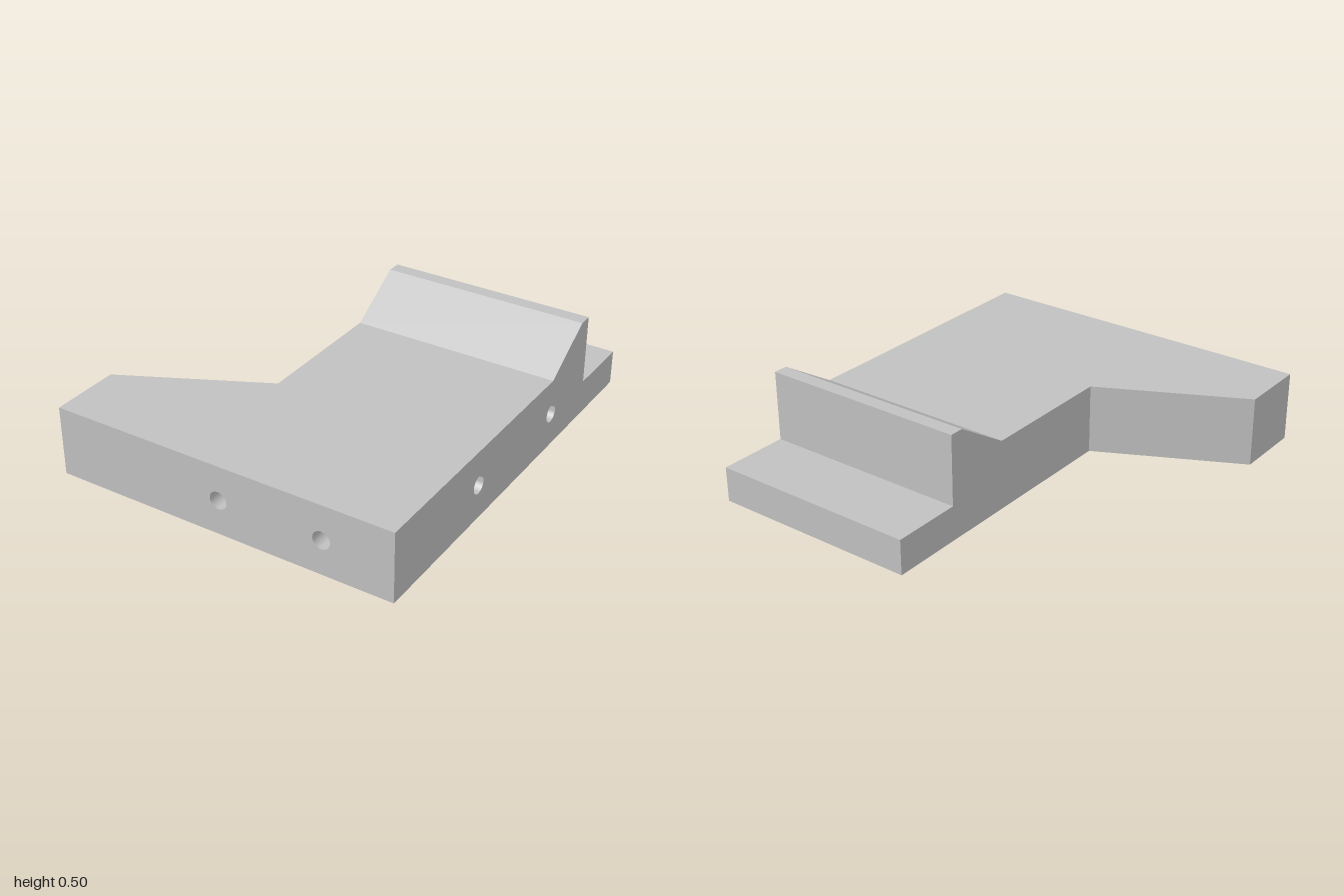
import * as THREE from 'three';
import { toCreasedNormals } from 'three/addons/utils/BufferGeometryUtils.js';

const W = 5 / 6, N = -1 / 6, T = 1 / 3;   // outer side, inner side, plate height
const HOLE_Y = 1 / 6, HOLE_R = 1 / 24, HOLE_DEPTH = 0.25;

export function createModel() {
  const group = new THREE.Group();
  const grey = new THREE.MeshStandardMaterial({ color: 0xc0c0c0 });
  grey.name = 'plain grey';

  const add = (name, geometry) => {
    const mesh = new THREE.Mesh(geometry, grey);
    mesh.name = name;
    group.add(mesh);
    return mesh;
  };

  // Flat wall from an outline, with optional round holes
  const wall = (name, outline, holes = []) => {
    const shape = new THREE.Shape(outline.map(([u, v]) => new THREE.Vector2(u, v)));
    for (const u of holes) {
      const path = new THREE.Path();
      path.absarc(u, HOLE_Y, HOLE_R, 0, Math.PI * 2, true);
      shape.holes.push(path);
    }
    return add(name, new THREE.ShapeGeometry(shape, 16));
  };

  // Four-cornered face, corners counter-clockwise from outside
  const quad = (name, a, b, c, d) => {
    const geometry = new THREE.BufferGeometry();
    geometry.setAttribute('position', new THREE.Float32BufferAttribute([a, b, c, a, c, d].flat(), 3));
    geometry.computeVertexNormals();
    return add(name, geometry);
  };

  // Blind round hole, open towards +y before it is turned
  const pocket = (name) => {
    const points = [[HOLE_R, 0], [HOLE_R, -HOLE_DEPTH], [0, -HOLE_DEPTH]];
    const lathe = new THREE.LatheGeometry(points.map(([x, y]) => new THREE.Vector2(x, y)), 32);
    return add(name, toCreasedNormals(lathe, Math.PI / 5));
  };

  // Stepped profile as (z, y), from the foot of the ramp to the back edge
  const steps = [[-1 / 3, T], [-0.6, 0.5], [-2 / 3, 0.5], [-2 / 3, 1 / 6], [-1, 1 / 6], [-1, 0]];

  // Front wall and the two side walls
  const frontHoles = [0, 0.5], sideHoles = [-1 / 3, 1 / 3];
  wall('frontWall', [[-W, 0], [W, 0], [W, T], [-W, T]], frontHoles).position.z = 1;

  const leftWall = wall('leftWall', [[-1, 0], [-1, T], ...steps.map(([z, y]) => [-z, y])], sideHoles);
  leftWall.rotation.y = Math.PI / 2;
  leftWall.position.x = W;

  const rightWall = wall('rightWall', [[1 / 3, 0], [1 / 3, T], ...steps]);
  rightWall.rotation.y = -Math.PI / 2;
  rightWall.position.x = N;

  // Top and underside of the plate, with its tapered wing
  const footprint = (back) => [[-W, 1], [W, 1], [W, back], [N, back], [N, 1 / 3], [-W, 2 / 3]];
  const top = wall('plateTop', footprint(-1 / 3).map(([x, z]) => [x, -z]));
  top.rotation.x = -Math.PI / 2;
  top.position.y = T;
  wall('underside', footprint(-1)).rotation.x = Math.PI / 2;

  // Wing end and its slanted back
  quad('wingEnd', [-W, 0, 2 / 3], [-W, 0, 1], [-W, T, 1], [-W, T, 2 / 3]);
  quad('wingBack', [N, 0, 1 / 3], [-W, 0, 2 / 3], [-W, T, 2 / 3], [N, T, 1 / 3]);

  // Ramp, ridge, riser, ledge and back edge
  ['ramp', 'ridgeTop', 'ridgeBack', 'ledgeTop', 'backEdge'].forEach((name, i) => {
    const [z0, y0] = steps[i], [z1, y1] = steps[i + 1];
    quad(name, [N, y0, z0], [W, y0, z0], [W, y1, z1], [N, y1, z1]);
  });

  // Mounting holes in the front and the left side
  for (const x of frontHoles) {
    const hole = pocket('frontHole');
    hole.rotation.x = Math.PI / 2;
    hole.position.set(x, HOLE_Y, 1);
  }
  for (const z of sideHoles) {
    const hole = pocket('sideHole');
    hole.rotation.z = -Math.PI / 2;
    hole.position.set(W, HOLE_Y, z);
  }

  return group;
}
